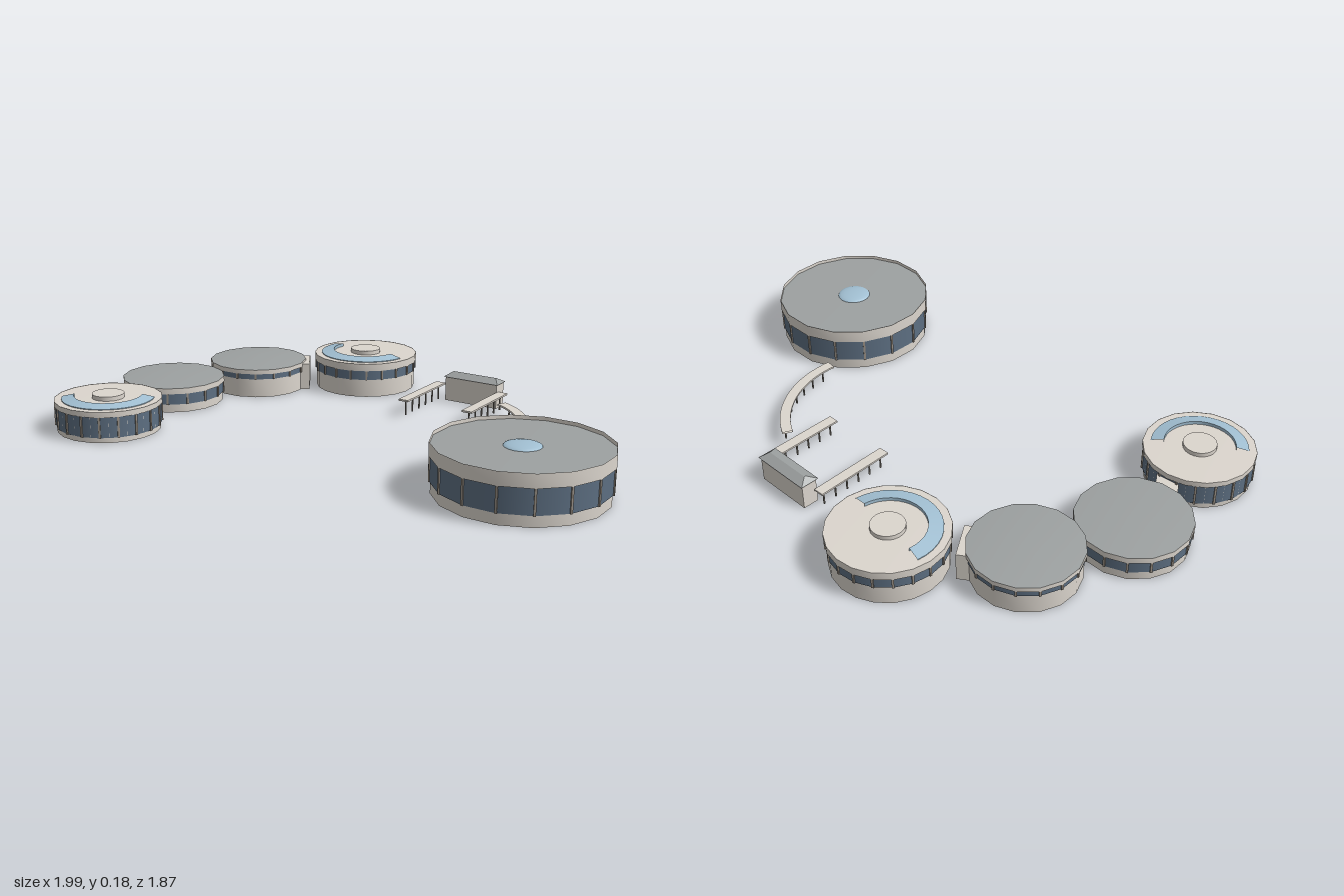
import * as THREE from 'three';
import { toCreasedNormals } from 'three/addons/utils/BufferGeometryUtils.js';

const mat = (name, color) => {
  const m = new THREE.MeshStandardMaterial({ color, side: THREE.DoubleSide });
  m.name = name;
  return m;
};

export function createModel() {
  const beige = mat('concrete', 0xdcd6ce);
  const grey = mat('roofGrey', 0x9da1a1);
  const glass = mat('windowGlass', 0x5d6f82);
  const sky = mat('skylightGlass', 0xa2c0d3);
  const trim = mat('mullion', 0x9a9186);
  const dark = mat('post', 0x807a72);
  const model = new THREE.Group();
  model.name = 'campus';

  const add = (parent, name, geo, material, x = 0, y = 0, z = 0, ry = 0) => {
    const m = new THREE.Mesh(geo, material);
    m.name = name;
    m.position.set(x, y, z);
    m.rotation.y = ry;
    parent.add(m);
    return m;
  };

  // Turned surface, smooth around and sharp along its profile; angles run from +x towards +z
  const turned = (profile, n, a0 = 0, a1 = Math.PI * 2) => toCreasedNormals(new THREE.LatheGeometry(
    profile.map(([x, y]) => new THREE.Vector2(x, y)), n, Math.PI / 2 - a1, a1 - a0), 0.5);

  // Round building: wall shell, window band, mullions, fascia and roof
  const pavilion = (o) => {
    const g = new THREE.Group();
    g.name = o.name;
    g.position.set(o.x, 0, o.z);
    model.add(g);
    const { r, n, sill, head, top, eave, apex } = o;
    add(g, 'wall', turned([[r - 0.008, 0], [r - 0.008, head], [r, head], [r, top]], n), beige);
    add(g, 'windowBand', new THREE.CylinderGeometry(r - 0.005, r - 0.005, head - sill, n, 1, true),
      glass, 0, (sill + head) / 2, 0);
    for (let i = 0; i < n; i++) {
      const a = (i / n) * Math.PI * 2;
      add(g, 'mullion', new THREE.BoxGeometry(0.008, head - sill, 0.006), trim,
        Math.sin(a) * (r - 0.004), (sill + head) / 2, Math.cos(a) * (r - 0.004), a);
    }
    add(g, 'roof', turned([[r, eave], [0, apex]], n), o.roof);
    add(g, 'ceiling', new THREE.CircleGeometry(r - 0.009, n).rotateX(Math.PI / 2), grey, 0, eave - 0.004, 0);
    if (o.arc) {
      // Round cap and a curved skylight sloping down to the outside
      const [inner, outer, a0, a1] = o.arc;
      add(g, 'roofCap', new THREE.CylinderGeometry(0.062, 0.062, 0.017, 20), beige, 0, top + 0.0085, 0);
      add(g, 'curvedSkylight', turned([[outer, top], [outer, top + 0.003], [inner, top + 0.013], [inner, top]],
        18, a0, a1), sky);
    }
    return g;
  };

  const rad = THREE.MathUtils.degToRad;
  pavilion({ name: 'westPavilion', x: -0.79, z: -0.07, r: 0.206, n: 18, sill: 0.02, head: 0.1, top: 0.121,
    eave: 0.12, apex: 0.122, roof: beige, arc: [0.13, 0.177, 0, Math.PI] });
  pavilion({ name: 'northWestPavilion', x: -0.592, z: -0.468, r: 0.208, n: 16, sill: 0.033, head: 0.077, top: 0.1,
    eave: 0.1, apex: 0.115, roof: grey });
  pavilion({ name: 'northPavilion', x: -0.257, z: -0.69, r: 0.203, n: 16, sill: 0.077, head: 0.1, top: 0.118,
    eave: 0.118, apex: 0.135, roof: grey });
  pavilion({ name: 'northEastPavilion', x: 0.202, z: -0.72, r: 0.216, n: 20, sill: 0.073, head: 0.112, top: 0.142,
    eave: 0.141, apex: 0.143, roof: beige, arc: [0.135, 0.187, rad(40), rad(225)] });
  const hall = pavilion({ name: 'mainHall', x: 0.69, z: 0.625, r: 0.306, n: 16, sill: 0.04, head: 0.13, top: 0.179,
    eave: 0.165, apex: 0.168, roof: grey });
  const dome = new THREE.SphereGeometry(0.066, 20, 5, 0, Math.PI * 2, 0, Math.PI / 2).scale(1, 0.2, 1);
  add(hall, 'domeSkylight', dome, sky, 0, 0.166, 0);

  // Links between neighbouring pavilions
  add(model, 'link', new THREE.BoxGeometry(0.08, 0.09, 0.12), beige, -0.69, 0.045, -0.275);
  add(model, 'link', new THREE.BoxGeometry(0.07, 0.08, 0.06), beige, -0.425, 0.04, -0.575, rad(33));
  add(model, 'link', new THREE.BoxGeometry(0.06, 0.11, 0.145), beige, -0.067, 0.055, -0.7);

  // Covered walks: thin slabs on slender posts
  const postGeo = new THREE.CylinderGeometry(0.0035, 0.0035, 0.06, 6);
  const walk = (x0, z0, x1, z1) => {
    const len = Math.hypot(x1 - x0, z1 - z0);
    add(model, 'walkRoof', new THREE.BoxGeometry(0.042, 0.007, len), beige,
      (x0 + x1) / 2, 0.064, (z0 + z1) / 2, Math.atan2(x1 - x0, z1 - z0));
    for (let i = 0; i < 6; i++) {
      const t = (i + 0.4) / 5.8;
      add(model, 'walkPost', postGeo, dark, x0 + (x1 - x0) * t, 0.03, z0 + (z1 - z0) * t);
    }
  };
  walk(0.512, -0.508, 0.343, -0.24);
  walk(0.747, -0.352, 0.578, -0.09);
  add(model, 'curvedWalkRoof', turned([[0.38, 0.0605], [0.42, 0.0605], [0.42, 0.0675], [0.38, 0.0675], [0.38, 0.0605]],
    18, rad(-30), rad(39)), beige, 0.378, 0, 0);
  for (let i = 0; i < 8; i++) {
    const a = rad(-23 + i * 8);
    add(model, 'walkPost', postGeo, dark, 0.378 + Math.cos(a) * 0.404, 0.03, Math.sin(a) * 0.404);
  }

  // Gatehouse with a hipped roof
  const gate = new THREE.Group();
  gate.name = 'gatehouse';
  gate.position.set(0.642, 0, -0.438);
  gate.rotation.y = rad(-33.5);
  model.add(gate);
  add(gate, 'gateWalls', new THREE.BoxGeometry(0.232, 0.1, 0.062), beige, 0, 0.05, 0);
  const hip = new THREE.BoxGeometry(0.244, 0.018, 0.076);
  const p = hip.attributes.position;
  for (let i = 0; i < p.count; i++) {
    if (p.getY(i) > 0) p.setXYZ(i, p.getX(i) * 0.8, p.getY(i), p.getZ(i) * 0.08);
  }
  hip.computeVertexNormals();
  add(gate, 'hipRoof', hip, grey, 0, 0.109, 0);
  return model;
}
